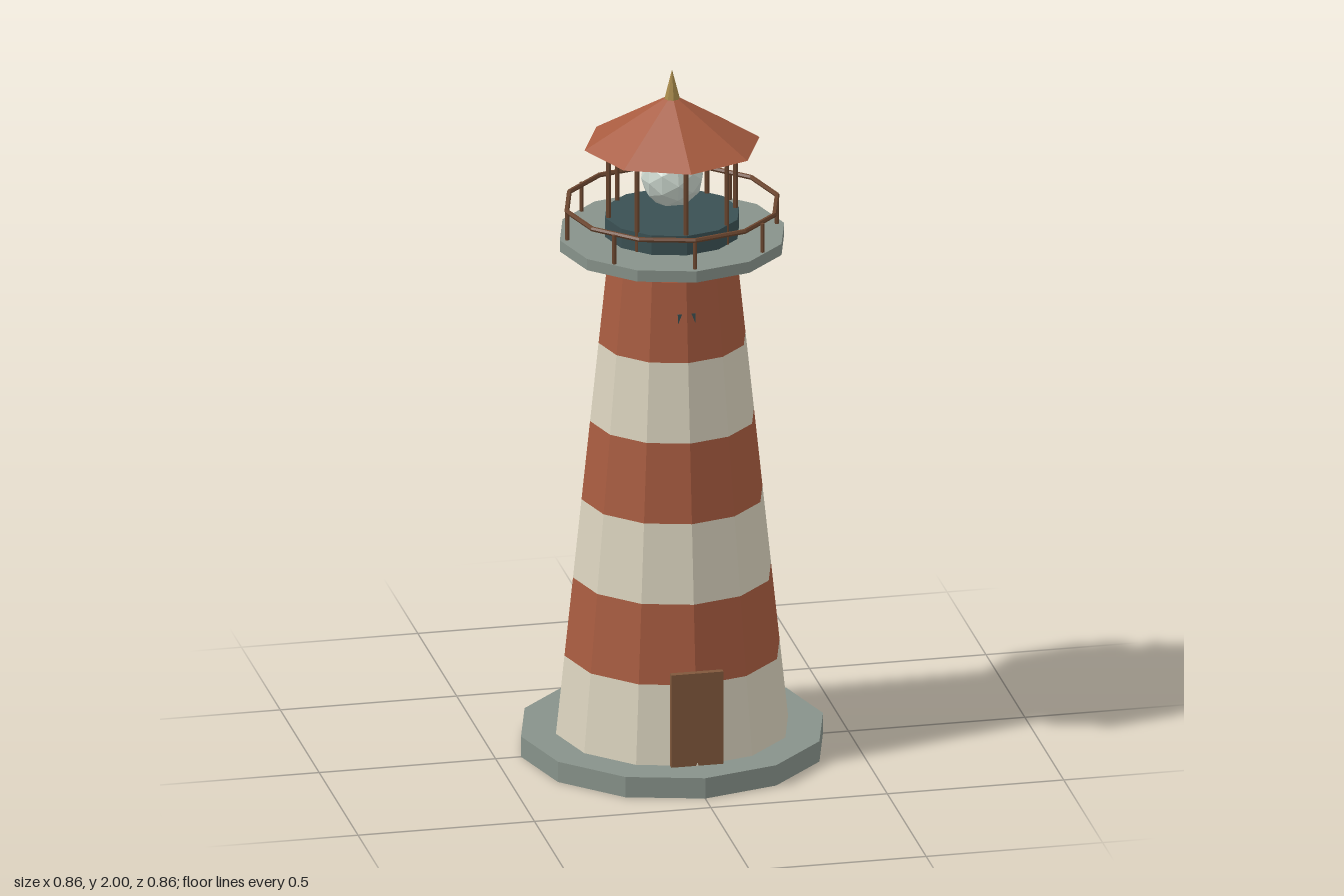
import * as THREE from 'three';

const mat = (color) => new THREE.MeshStandardMaterial({ color, flatShading: true });

export function createModel() {
  const model = new THREE.Group();
  const red = mat(0xa85c40), cream = mat(0xd9d2bd), stone = mat(0x87928a);
  const wood = mat(0x80583c), rail = mat(0x6b462f), teal = mat(0x3a5053);
  const glass = mat(0xc8d3ca), brass = mat(0xa88a4a);

  function add(name, geometry, material, x = 0, y = 0, z = 0) {
    const mesh = new THREE.Mesh(geometry, material);
    mesh.name = name;
    mesh.position.set(x, y, z);
    model.add(mesh);
    return mesh;
  }
  // Upright prism or frustum between two heights
  function drum(name, rBottom, rTop, y0, y1, sides, material, x = 0, z = 0) {
    const g = new THREE.CylinderGeometry(rTop, rBottom, y1 - y0, sides);
    return add(name, g, material, x, (y0 + y1) / 2, z);
  }
  // Eight thin posts in a circle
  function posts(name, radius, thickness, y0, y1) {
    for (let i = 0; i < 8; i++) {
      const a = (i * Math.PI) / 4;
      drum(name, thickness, thickness, y0, y1, 6, rail, radius * Math.sin(a), radius * Math.cos(a));
    }
  }

  drum('base', 0.428, 0.428, 0, 0.06, 12, stone);

  // Tapering tower of alternating bands
  const y0 = 0.06, bandHeight = 0.2295, bands = 6;
  const radiusAt = (i) => 0.329 + (0.184 - 0.329) * (i / bands);
  for (let i = 0; i < bands; i++) {
    drum('towerBand', radiusAt(i), radiusAt(i + 1), y0 + i * bandHeight, y0 + (i + 1) * bandHeight,
      12, i % 2 ? red : cream);
  }

  // Door and the small window set into the upper wall
  add('door', new THREE.BoxGeometry(0.148, 0.273, 0.018), wood, 0, 0.1965, 0.319);
  add('window', new THREE.BoxGeometry(0.05, 0.08, 0.02), teal, 0, 1.306, 0.18);

  // Gallery with railing
  drum('galleryDeck', 0.318, 0.318, 1.487, 1.52, 12, stone);
  posts('railingPost', 0.297, 0.006, 1.52, 1.605);
  add('railing', new THREE.TorusGeometry(0.298, 0.007, 6, 12).rotateX(Math.PI / 2), rail, 0, 1.604, 0);

  // Lantern room
  drum('lanternFloor', 0.19, 0.19, 1.52, 1.577, 12, teal);
  posts('lanternPost', 0.18, 0.007, 1.52, 1.785);
  add('lamp', new THREE.IcosahedronGeometry(0.088, 1), glass, 0, 1.685, 0);

  // Roof and spire
  drum('roof', 0.248, 0.022, 1.78, 1.915, 8, red);
  drum('spire', 0.023, 0, 1.91, 2, 8, brass);

  return model;
}
